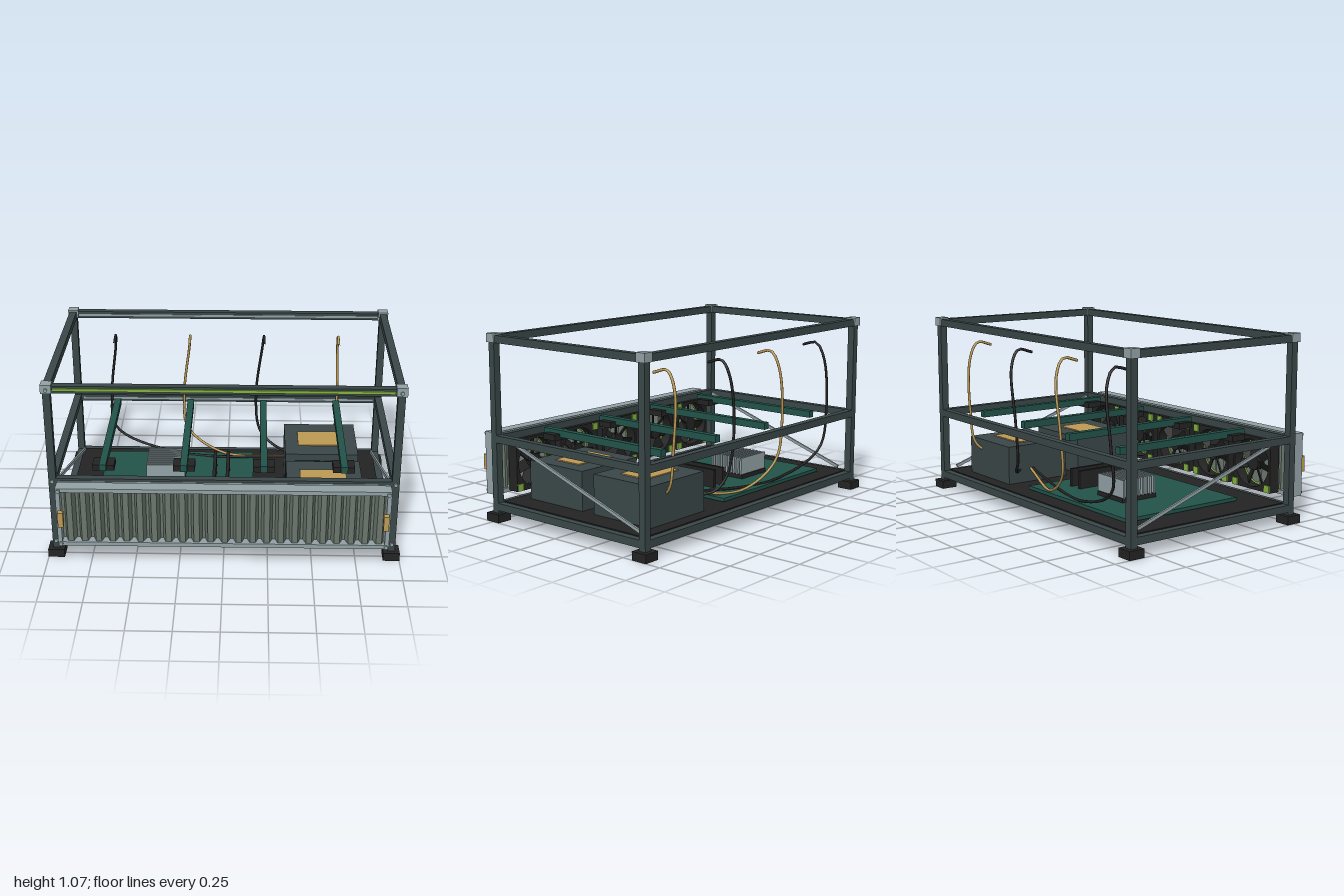
import * as THREE from 'three';

const mat = (name, color, side = THREE.FrontSide) => {
  const m = new THREE.MeshStandardMaterial({ color, side });
  m.name = name;
  return m;
};

export function createModel() {
  const model = new THREE.Group();
  model.name = 'openFrameComputer';

  const frame = mat('slate frame', 0x3a4748);
  const silver = mat('silver', 0x93a2a6);
  const black = mat('black', 0x232323);
  const teal = mat('circuit teal', 0x22534a);
  const gold = mat('gold', 0xbd9a55);
  const lime = mat('lime', 0x82b040);
  const pleat = mat('filter grey', 0x6b776d, THREE.DoubleSide);

  const add = (name, geo, m, x = 0, y = 0, z = 0, parent = model) => {
    const mesh = new THREE.Mesh(geo, m);
    mesh.name = name;
    mesh.position.set(x, y, z);
    parent.add(mesh);
    return mesh;
  };
  // Box given by its extents along each axis
  const box = (name, m, x0, x1, y0, y1, z0, z1, parent = model) =>
    add(name, new THREE.BoxGeometry(x1 - x0, y1 - y0, z1 - z0), m,
      (x0 + x1) / 2, (y0 + y1) / 2, (z0 + z1) / 2, parent);
  const screw = (name, x, y, z, parent = model) => {
    const s = add(name, new THREE.CylinderGeometry(0.011, 0.011, 0.014, 10), silver, x, y, z, parent);
    s.rotation.x = Math.PI / 2;
  };

  // Frame: posts, feet, corner caps
  const PX = 0.955, ZF = 0.5, ZB = -0.612, T = 0.021;
  for (const x of [-PX, PX]) {
    for (const z of [ZF, ZB]) {
      box('post', frame, x - T, x + T, 0.045, 1.05, z - T, z + T);
      box('foot', black, x - 0.047, x + 0.047, 0, 0.048, z - 0.048, z + 0.048);
      box('cornerCap', silver, x - 0.03, x + 0.03, 1.02, 1.07, z - 0.03, z + 0.03);
    }
    for (const y of [0.095, 0.48, 1.04]) screw('frameScrew', x, y, y > 1 ? 0.53 : 0.525);
  }

  // Frame: rails at three heights, with slot strips on the long ones
  for (const y of [0.085, 0.476, 1.04]) {
    for (const x of [-PX, PX]) box('sideRail', frame, x - T, x + T, y - T, y + T, ZB + T, ZF - T);
    for (const z of [ZF, ZB]) {
      box('longRail', frame, -PX + T, PX - T, y - T, y + T, z - T, z + T);
      const lit = y > 1 && z === ZF;
      box(lit ? 'lightStrip' : 'railSlot', lit ? lime : silver, -0.92, 0.92,
        y - 0.006, y + (lit ? 0.01 : 0.006), z + T, z + T + (lit ? 0.009 : 0.004));
    }
  }

  // Diagonal side braces
  for (const x of [-0.922, 0.922]) {
    const dy = 0.345, dz = 1.01;
    const b = add('brace', new THREE.BoxGeometry(0.012, 0.018, Math.hypot(dy, dz)), silver, x, 0.303, -0.045);
    b.rotation.x = -Math.atan2(dy, dz);
  }

  // Floor tray and main board
  box('floorTray', black, -0.935, 0.935, 0.075, 0.112, -0.592, 0.48);
  box('mainBoard', teal, -0.765, 0.165, 0.12, 0.14, -0.5, 0.28);
  for (const x of [-0.7, 0.1]) for (const z of [-0.44, 0.22])
    add('standoff', new THREE.CylinderGeometry(0.012, 0.012, 0.01, 8), silver, x, 0.116, z);
  for (const x of [-0.07, 0.01]) box('memoryStick', black, x - 0.01, x + 0.01, 0.14, 0.245, -0.31, 0.055);

  // Heat sink
  box('heatSinkBase', black, -0.485, -0.25, 0.14, 0.165, -0.31, -0.075);
  for (let i = 0; i < 9; i++) {
    const z = -0.298 + i * 0.0264;
    box('heatSinkFin', silver, -0.485, -0.25, 0.165, 0.265, z - 0.006, z + 0.006);
  }

  // Power supplies with labels and vent slots
  for (const z of [-0.308, 0.192]) {
    const psu = new THREE.Group();
    psu.name = 'powerSupply';
    model.add(psu);
    box('supplyCase', frame, 0.36, 0.8, 0.112, 0.338, z - 0.206, z + 0.206, psu);
    box('supplyLabel', gold, 0.44, 0.71, 0.338, 0.344, z - 0.092, z + 0.092, psu);
    for (let i = 0; i < 6; i++) {
      const y = 0.155 + i * 0.027;
      box('ventSlot', black, 0.42, 0.74, y - 0.005, y + 0.005, z + 0.206, z + 0.212, psu);
    }
  }

  // Card beams with connectors, and their power cables
  [-0.69, -0.23, 0.225, 0.68].forEach((x, i) => {
    box('cardBeam', teal, x - 0.02, x + 0.02, 0.473, 0.513, -0.5, 0.385);
    box('cardConnector', black, x - 0.062, x + 0.062, 0.457, 0.492, 0.255, 0.35);
    const end = new THREE.Vector3(0.58, 0.22, -0.3);
    const lean = i === 3 ? 0.012 : -0.045;
    const path = [
      [x, 0.915, -0.43], [x, 0.935, -0.525], [x + lean * 0.2, 0.84, -0.577], [x + lean, 0.52, -0.577],
    ];
    if (i === 3) path.push([0.68, 0.3, -0.535]);
    else {
      path.push([x + lean * 0.5, 0.29, -0.55]);
      path.push([x + (0.36 - x) * 0.33, i === 2 ? 0.21 : 0.15, i === 2 ? -0.52 : -0.485]);
      path.push([0.36, 0.19, [-0.345, -0.36, -0.44][i]]);
    }
    const curve = new THREE.CatmullRomCurve3([...path.map(p => new THREE.Vector3(...p)), end]);
    add('powerCable', new THREE.TubeGeometry(curve, 48, 0.008, 8), i % 2 ? gold : black);
  });

  // Fans: square frame with round opening, blades, lime ring and corner pads
  const S = 0.153;
  const square = new THREE.Shape([[-S, -S], [S, -S], [S, S], [-S, S]].map(p => new THREE.Vector2(...p)));
  square.holes.push(new THREE.Path().absarc(0, 0, 0.138, 0, Math.PI * 2, true));
  const fanFrame = new THREE.ExtrudeGeometry(square, { depth: 0.068, bevelEnabled: false, curveSegments: 20 });
  const ring = new THREE.TorusGeometry(0.137, 0.006, 6, 32);
  const hub = new THREE.CylinderGeometry(0.045, 0.045, 0.05, 20).rotateX(Math.PI / 2);
  const blade = new THREE.BoxGeometry(0.06, 0.095, 0.006).rotateY(0.6).translate(0, 0.083, 0);
  for (let i = -2; i <= 2; i++) {
    const fan = new THREE.Group();
    fan.name = 'fan';
    fan.position.set(i * 0.35, 0.304, 0.452);
    model.add(fan);
    add('fanFrame', fanFrame, black, 0, 0, 0, fan);
    add('fanRing', ring, lime, 0, 0, 0.07, fan);
    add('fanHub', hub, black, 0, 0, 0.035, fan);
    for (let k = 0; k < 7; k++)
      add('fanBlade', blade, black, 0, 0, 0.035, fan).rotation.z = k * Math.PI * 2 / 7;
    for (const sx of [-1, 1]) for (const sy of [-1, 1])
      for (const z of [-0.003, 0.071])
        add('cornerPad', new THREE.BoxGeometry(0.042, 0.042, 0.008), lime, sx * 0.13, sy * 0.13, z, fan);
  }

  // Front filter: silver surround
  const filter = new THREE.Group();
  filter.name = 'frontFilter';
  model.add(filter);
  const FX = 0.925, Y0 = 0.13, Y1 = 0.494, Z0 = 0.557, Z1 = 0.632, W = 0.024;
  box('filterTop', silver, -FX, FX, Y1 - W, Y1, Z0, Z1, filter);
  box('filterBottom', silver, -FX, FX, Y0, Y0 + W, Z0, Z1, filter);
  for (const s of [-1, 1]) {
    const x = s * (FX - W / 2);
    box('filterSide', silver, x - W / 2, x + W / 2, Y0 + W, Y1 - W, Z0, Z1, filter);
    box('filterHandle', gold, s * 0.9 - 0.015, s * 0.9 + 0.015, 0.265, 0.355, Z1, 0.662, filter);
    for (const y of [0.145, 0.48]) screw('filterScrew', s * 0.908, y, 0.638, filter);
  }

  // Front filter: pleated sheet
  const front = [], back = [], N = 23, pitch = 2 * (FX - W) / N;
  for (let i = 0; i < N; i++) {
    const x = -FX + W + i * pitch;
    [[0, 0.575], [0.2, 0.575], [0.4, 0.618], [0.8, 0.618]].forEach(([u, z]) => {
      front.push(new THREE.Vector2(x + u * pitch, -z));
      back.unshift(new THREE.Vector2(x + u * pitch, -z + 0.006));
    });
  }
  front.push(new THREE.Vector2(FX - W, -0.575));
  back.unshift(new THREE.Vector2(FX - W, -0.569));
  const sheet = new THREE.ExtrudeGeometry(new THREE.Shape([...front, ...back]),
    { depth: Y1 - Y0 - 2 * W, bevelEnabled: false });
  sheet.rotateX(-Math.PI / 2);
  add('filterPleats', sheet, pleat, 0, Y0 + W, 0, filter);

  return model;
}
